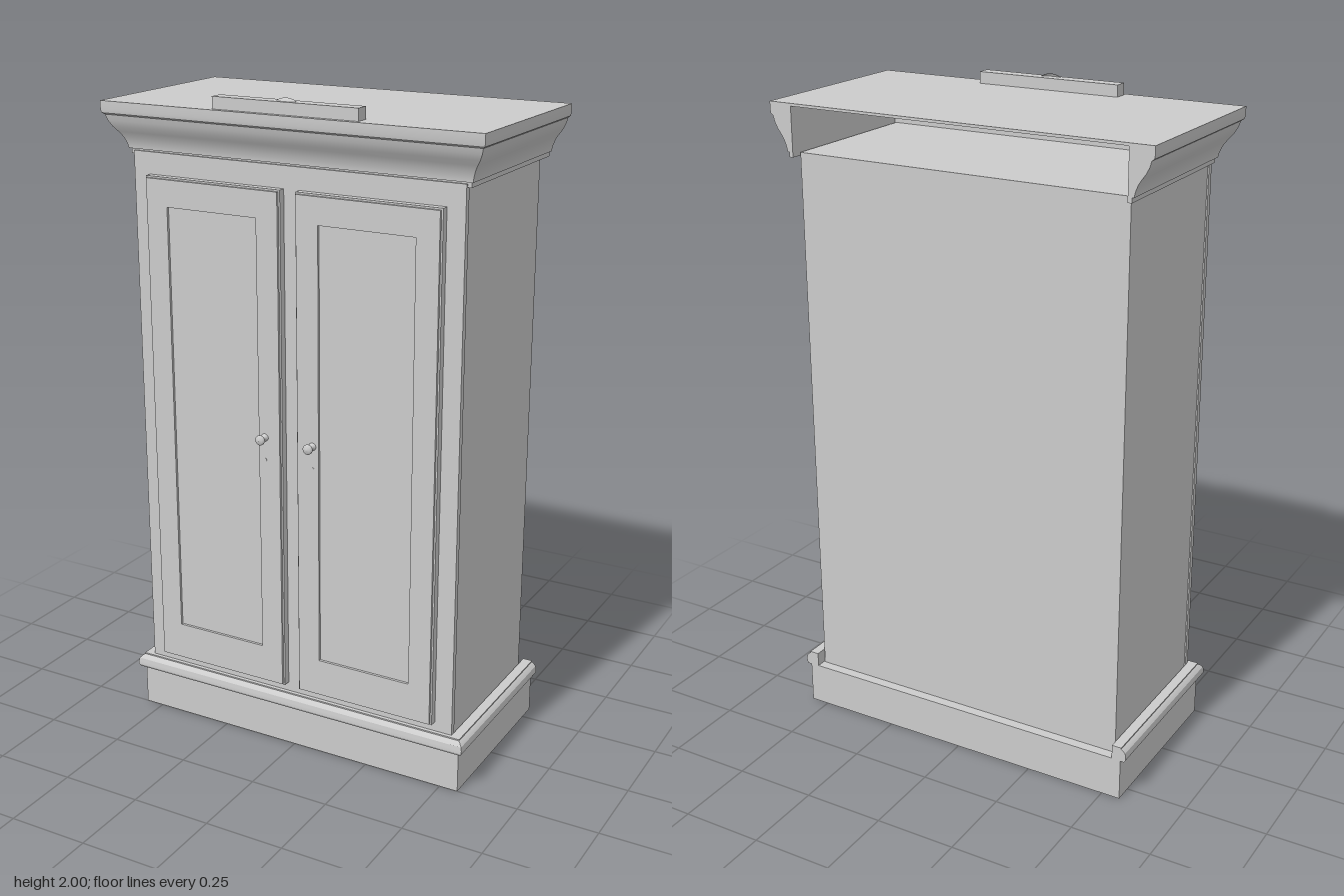
import * as THREE from 'three';
import { toCreasedNormals } from 'three/addons/utils/BufferGeometryUtils.js';

const material = new THREE.MeshStandardMaterial({ color: 0xcccccc });
const HALF_W = 0.53, FRONT = 0.222, BACK = -0.306;

function add(parent, name, geometry, x = 0, y = 0, z = 0) {
  const mesh = new THREE.Mesh(geometry, material);
  mesh.name = name;
  mesh.position.set(x, y, z);
  parent.add(mesh);
  return mesh;
}

// Box given by its minimum and maximum corners
function box(parent, name, [x0, y0, z0], [x1, y1, z1]) {
  return add(parent, name, new THREE.BoxGeometry(x1 - x0, y1 - y0, z1 - z0),
    (x0 + x1) / 2, (y0 + y1) / 2, (z0 + z1) / 2);
}

// Mitred moulding round the left, front and right; profile is a closed
// counterclockwise loop of (offset from carcass, height)
function moulding(profile) {
  const stations = [
    ([o, y]) => [-HALF_W - o, y, BACK],
    ([o, y]) => [-HALF_W - o, y, FRONT + o],
    ([o, y]) => [HALF_W + o, y, FRONT + o],
    ([o, y]) => [HALF_W + o, y, BACK],
  ];
  const pos = [];
  for (let s = 0; s < 3; s++) {
    profile.forEach((p, i) => {
      const q = profile[(i + 1) % profile.length];
      const a = stations[s](p), b = stations[s + 1](p);
      const c = stations[s + 1](q), d = stations[s](q);
      pos.push(...a, ...b, ...c, ...a, ...c, ...d);
    });
  }
  // End caps at the back
  const flat = profile.map(([o, y]) => new THREE.Vector2(o, y));
  for (const [i, j, k] of THREE.ShapeUtils.triangulateShape(flat, [])) {
    for (const n of [i, j, k]) pos.push(...stations[0](profile[n]));
    for (const n of [k, j, i]) pos.push(...stations[3](profile[n]));
  }
  const g = new THREE.BufferGeometry();
  g.setAttribute('position', new THREE.Float32BufferAttribute(pos, 3));
  return toCreasedNormals(g, 0.5);
}

function rect(path, x0, y0, x1, y1) {
  path.moveTo(x0, y0).lineTo(x1, y0).lineTo(x1, y1).lineTo(x0, y1).closePath();
  return path;
}

// Door with a shallow recessed panel, knob and keyhole; side is +1 or -1
function door(side) {
  const group = new THREE.Group();
  group.name = side > 0 ? 'leftDoor' : 'rightDoor';
  const span = (a, b) => (side > 0 ? [a, b] : [-b, -a]);

  const [x0, x1] = span(0.025, 0.475);
  box(group, 'doorPanel', [x0, 0.205, 0.235], [x1, 1.745, 0.262]);

  const [fx0, fx1] = span(0.03, 0.47);
  const [px0, px1] = span(0.1, 0.4);
  const frame = rect(new THREE.Shape(), fx0, 0.21, fx1, 1.74);
  frame.holes.push(rect(new THREE.Path(), px0, 0.325, px1, 1.66));
  add(group, 'doorFrame',
    new THREE.ExtrudeGeometry(frame, { depth: 0.008, bevelEnabled: false }), 0, 0, 0.262);

  const knobProfile = [[0.012, 0], [0.011, 0.004], [0.006, 0.009], [0.006, 0.016], [0.011, 0.02],
    [0.015, 0.026], [0.015, 0.031], [0.01, 0.035], [0, 0.037]];
  const knob = add(group, 'knob', new THREE.LatheGeometry(
    knobProfile.map(([r, y]) => new THREE.Vector2(r, y)), 20), side * 0.08, 1.01, 0.269);
  knob.rotation.x = Math.PI / 2;

  const keyhole = add(group, 'keyhole',
    new THREE.CylinderGeometry(0.006, 0.006, 0.01, 12), side * 0.08, 0.94, 0.266);
  keyhole.rotation.x = Math.PI / 2;
  return group;
}

export function createModel() {
  const model = new THREE.Group();
  model.name = 'cabinet';

  // Base
  box(model, 'plinth', [-0.558, 0, BACK], [0.558, 0.132, 0.25]);
  add(model, 'baseMoulding', moulding([
    [0, 0.13], [0.04, 0.13], [0.045, 0.138], [0.045, 0.15], [0.043, 0.16],
    [0.036, 0.168], [0.03, 0.172], [0.03, 0.176], [0, 0.176],
  ]));

  // Carcass
  box(model, 'body', [-0.526, 0.13, -0.275], [0.526, 1.81, FRONT]);
  box(model, 'faceFrame', [-HALF_W, 0.13, FRONT], [HALF_W, 1.81, 0.24]);

  model.add(door(1), door(-1));

  // Crown, open at the back beneath the lid
  add(model, 'crownMoulding', moulding([
    [0, 1.8], [0.012, 1.8], [0.012, 1.815], [0.018, 1.815], [0.021, 1.83], [0.028, 1.848],
    [0.038, 1.864], [0.05, 1.88], [0.059, 1.898], [0.064, 1.915], [0.071, 1.92],
    [0.073, 1.93], [0.073, 1.955], [0, 1.955],
  ]));
  box(model, 'lid', [-HALF_W, 1.947, BACK], [HALF_W, 1.955, FRONT]);

  // Crest bar with a shallow domed rosette set into it
  box(model, 'crestBar', [-0.23, 1.95, 0.237], [0.23, 1.99, 0.279]);
  const rosette = add(model, 'rosette',
    new THREE.SphereGeometry(0.06, 32, 10, 0, Math.PI * 2, 0, Math.PI / 2), 0, 1.94, 0.262);
  rosette.rotation.x = Math.PI / 2;
  rosette.scale.y = 0.27;
  rosette.material = material.clone();
  rosette.material.side = THREE.DoubleSide;

  return model;
}
